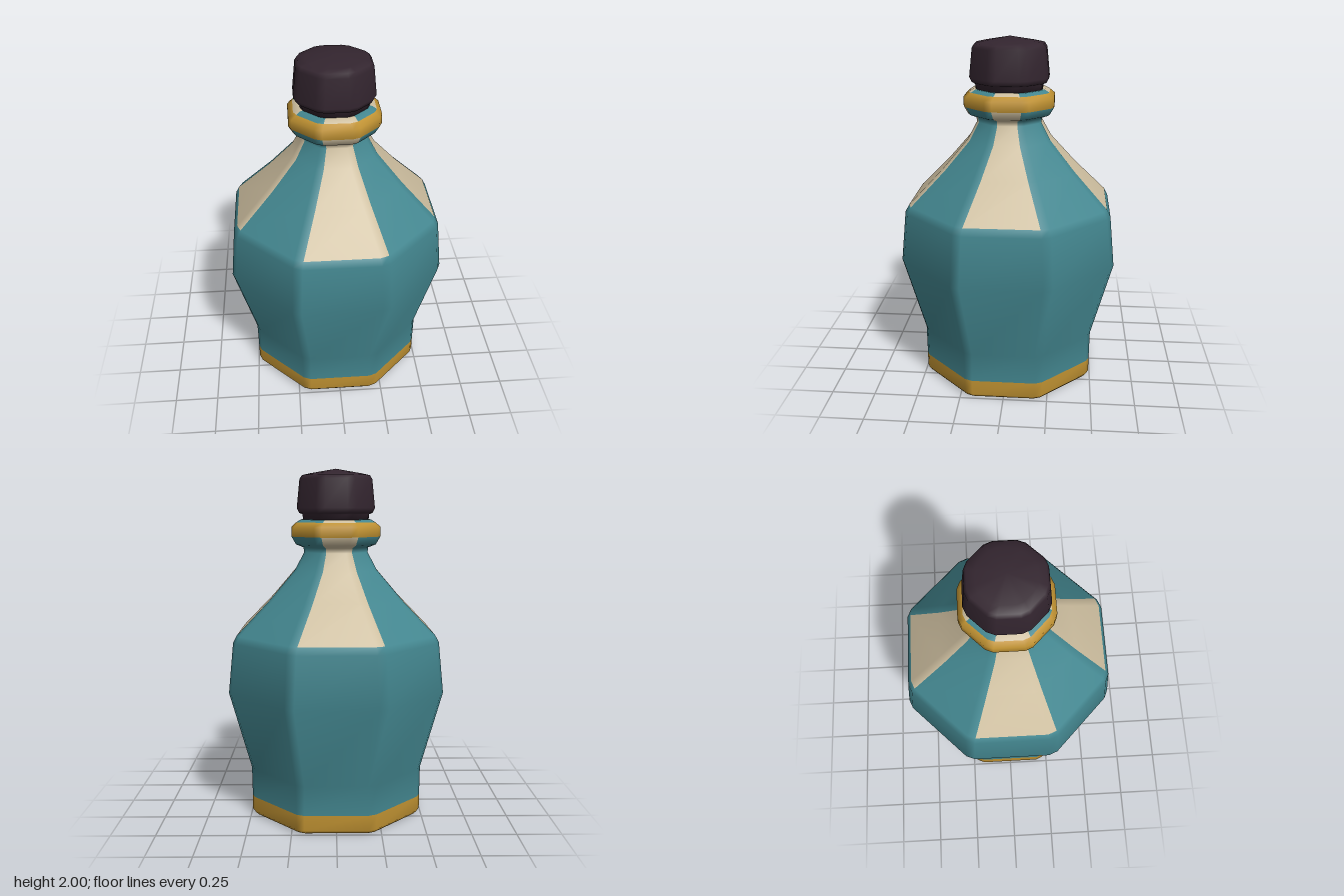
import * as THREE from 'three';

const mat = (name, color) => {
  const m = new THREE.MeshStandardMaterial({ color });
  m.name = name;
  return m;
};

// Octagonal loft with chamfered corners. Each ring is [apothem, y, chamfer];
// colourOf(band, segment) picks the material index. Even segments are the
// flat sides (0 = front, 4 = left), odd segments the chamfers between them.
function octagonLoft(name, rings, materials, colourOf) {
  const pos = [];
  const faces = materials.map(() => []);
  for (const [a, y, c] of rings) {
    const w = a * Math.tan(Math.PI / 8) - c;
    for (let k = 0; k < 8; k++) {
      const s = Math.sin(k * Math.PI / 4), co = Math.cos(k * Math.PI / 4);
      for (const t of [-w, w]) pos.push(a * s + t * co, y, a * co - t * s);
    }
  }
  for (let r = 0; r < rings.length - 1; r++) {
    for (let i = 0; i < 16; i++) {
      const j = (i + 1) % 16, a = r * 16, b = a + 16;
      faces[colourOf(r, i)].push(a + i, a + j, b + j, a + i, b + j, b + i);
    }
  }
  // Close both ends with fans
  const last = rings.length - 1, centre = pos.length / 3;
  pos.push(0, rings[0][1], 0, 0, rings[last][3] ?? rings[last][1], 0);
  for (let i = 0; i < 16; i++) {
    const j = (i + 1) % 16;
    faces[colourOf(0, i)].push(centre, j, i);
    faces[colourOf(last - 1, i)].push(centre + 1, last * 16 + i, last * 16 + j);
  }
  const geo = new THREE.BufferGeometry();
  geo.setAttribute('position', new THREE.Float32BufferAttribute(pos, 3));
  geo.setIndex(faces.flat());
  let start = 0;
  faces.forEach((f, m) => {
    if (f.length) geo.addGroup(start, f.length, m);
    start += f.length;
  });
  geo.computeVertexNormals();
  const mesh = new THREE.Mesh(geo, materials);
  mesh.name = name;
  return mesh;
}

export function createModel() {
  const teal = mat('tealGlaze', 0x43868f);
  const cream = mat('creamPanel', 0xcdbe9f);
  const gold = mat('goldTrim', 0xc09232);
  const dark = mat('darkStopper', 0x33252f);
  const group = new THREE.Group();
  group.name = 'bottle';

  // Body, shoulders, neck and lip
  const rings = [
    [0.475, 0, 0.022], [0.493, 0.022, 0.025], [0.493, 0.11, 0.025],
    [0.495, 0.28, 0.028], [0.612, 0.74, 0.03], [0.583, 1.03, 0.03],
    [0.562, 1.07, 0.028], [0.375, 1.265, 0.026], [0.235, 1.43, 0.024],
    [0.182, 1.53, 0.02], [0.186, 1.558, 0.02], [0.228, 1.575, 0.022],
    [0.253, 1.62, 0.024], [0.253, 1.675, 0.024], [0.225, 1.7, 0.022],
    [0.2, 1.715, 0.02], [0.17, 1.715, 0.018],
  ];
  // Cream covers the four axial sides, three of them with one chamfer
  const creamSegments = new Set([0, 1, 4, 8, 9, 12, 13]);
  const bodyColour = (r, i) => {
    if (r < 2 || r === 12 || r === 13) return 2;
    return r >= 6 && creamSegments.has(i) ? 1 : 0;
  };
  group.add(octagonLoft('bottleBody', rings, [teal, cream, gold], bodyColour));

  // Stopper with a shallow pointed top
  const stopper = [
    [0.185, 1.7, 0.02], [0.19, 1.745, 0.02], [0.208, 1.752, 0.026],
    [0.222, 1.78, 0.028], [0.206, 1.94, 0.026], [0.192, 1.962, 0.024],
    [0.15, 1.972, 0.02, 2],
  ];
  group.add(octagonLoft('stopper', stopper, [dark], () => 0));
  return group;
}
